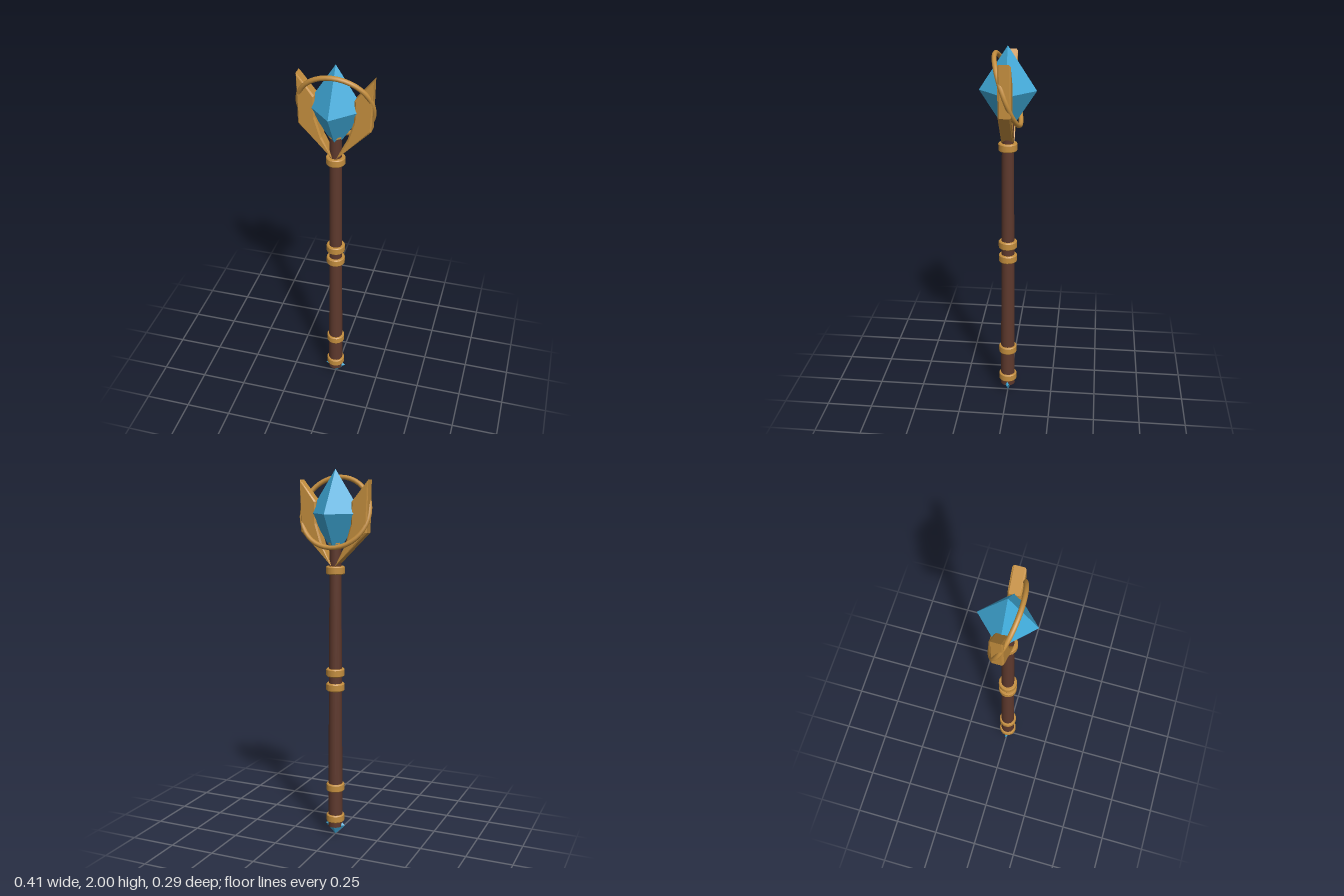
import * as THREE from 'three';

export function createModel() {
  const group = new THREE.Group();
  const mat = (name, color, flatShading = false) => {
    const m = new THREE.MeshStandardMaterial({ color, flatShading });
    m.name = name;
    return m;
  };
  const wood = mat('dark wood', 0x5e392d);
  const gold = mat('gold', 0xc48e3e);
  const crystalBlue = mat('crystal blue', 0x3fa9d8);

  const add = (name, geometry, material, y = 0) => {
    const mesh = new THREE.Mesh(geometry, material);
    mesh.name = name;
    mesh.position.y = y;
    group.add(mesh);
    return mesh;
  };

  // Tapered shaft
  add('shaft', new THREE.CylinderGeometry(0.031, 0.04, 1.56, 16), wood, 0.83);

  // Gold bands along the shaft, with softened rims
  const bandProfile = [[0.02, -0.021], [0.046, -0.021], [0.05, -0.016], [0.05, 0.016], [0.046, 0.021], [0.02, 0.021]]
    .map(([r, y]) => new THREE.Vector2(r, y));
  for (const y of [0.1, 0.28, 0.85, 0.93, 1.48]) {
    const rim = bandProfile.flatMap((p, i) => (i ? [bandProfile[i - 1], p] : []));
    add('band', new THREE.LatheGeometry(rim, 16), gold, y);
  }

  // Small collar holding the crystal
  add('crystalCollar', new THREE.CylinderGeometry(0.036, 0.036, 0.025, 12), gold, 1.628);

  // Large crystal and flattened pommel crystal
  add('crystal', new THREE.OctahedronGeometry(1).scale(0.147, 0.225, 0.147), crystalBlue, 1.775);
  add('pommelCrystal', new THREE.OctahedronGeometry(1).scale(0.058, 0.056, 0.03), crystalBlue, 0.056);

  // Pair of bevelled claws
  const outline = [[0.012, 1.505], [0.178, 1.682], [0.187, 1.935], [0.108, 1.832],
    [0.106, 1.72], [0.072, 1.61]].map(([x, y]) => new THREE.Vector2(x, y));
  const bevel = 0.008;
  const clawGeometry = new THREE.ExtrudeGeometry(new THREE.Shape(outline), {
    depth: 0.05, bevelEnabled: true, bevelSegments: 1, bevelSize: bevel, bevelThickness: bevel,
  }).translate(0, 0, -0.025);
  add('leftClaw', clawGeometry, gold);
  add('rightClaw', clawGeometry.clone().rotateY(Math.PI), gold);

  // Tilted ring around the head
  add('ring', new THREE.TorusGeometry(0.19, 0.0125, 10, 40), gold, 1.78).rotation.x = 0.35;

  return group;
}
